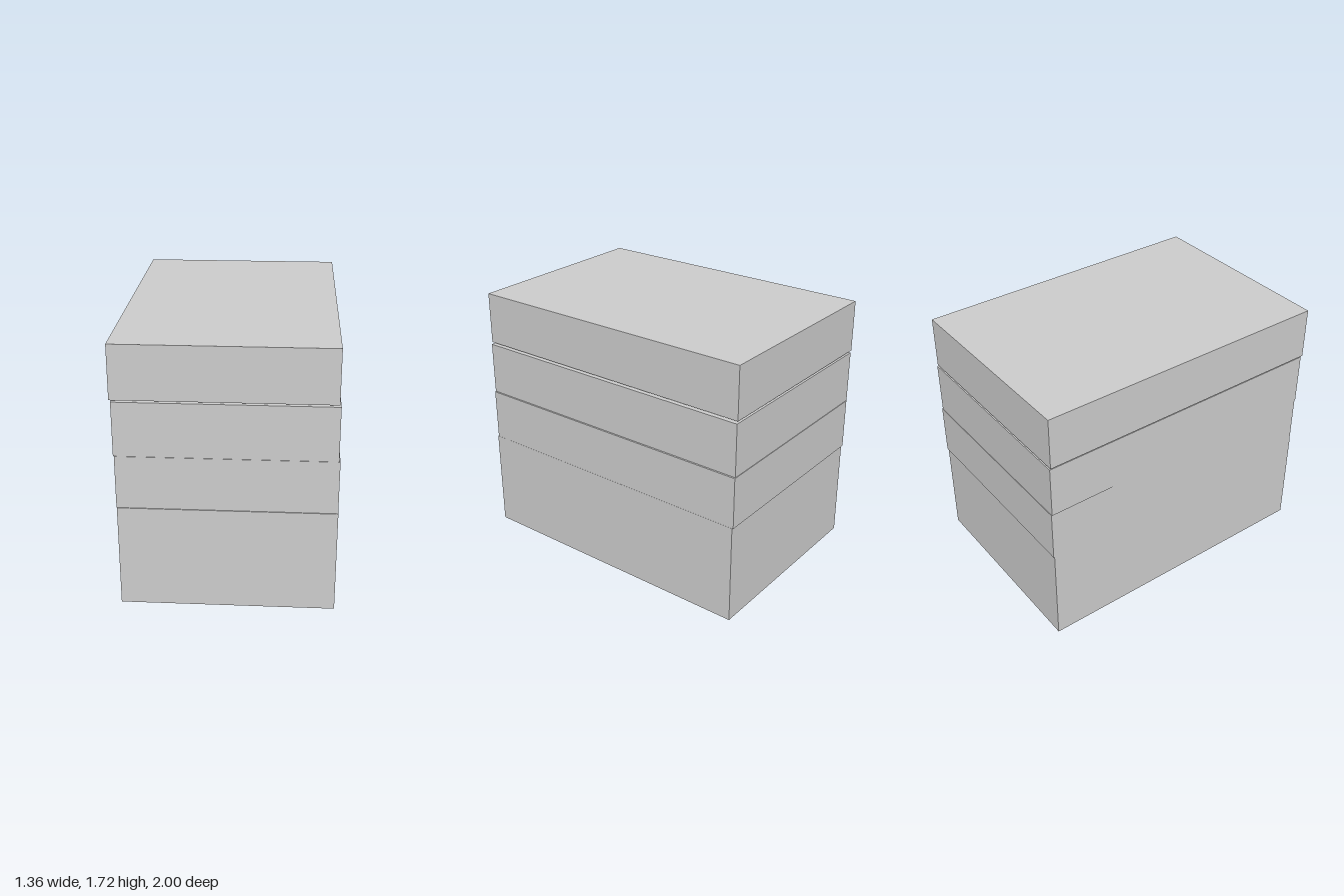
import * as THREE from 'three';

// Extents of each stacked block: [name, x0, x1, y0, y1, z0, z1]
const BLOCKS = [
  ['baseBlock', -0.665, 0.678, 0, 0.672, -0.992, 1],
  ['lowerBlock', -0.668, 0.677, 0.672, 1.015, -1, 0.994],
  ['middleBlock', -0.673, 0.669, 1.017, 1.364, -0.998, 0.995],
  ['topBlock', -0.682, 0.66, 1.377, 1.72, -0.997, 0.998],
];

export function createModel() {
  const group = new THREE.Group();
  group.name = 'blockStack';
  const material = new THREE.MeshStandardMaterial({ color: 0xcccccc, flatShading: true });

  // Slightly misaligned blocks, with a narrow gap under the top one
  for (const [name, x0, x1, y0, y1, z0, z1] of BLOCKS) {
    const block = new THREE.Mesh(new THREE.BoxGeometry(x1 - x0, y1 - y0, z1 - z0), material);
    block.position.set((x0 + x1) / 2, (y0 + y1) / 2, (z0 + z1) / 2);
    block.name = name;
    group.add(block);
  }
  return group;
}
